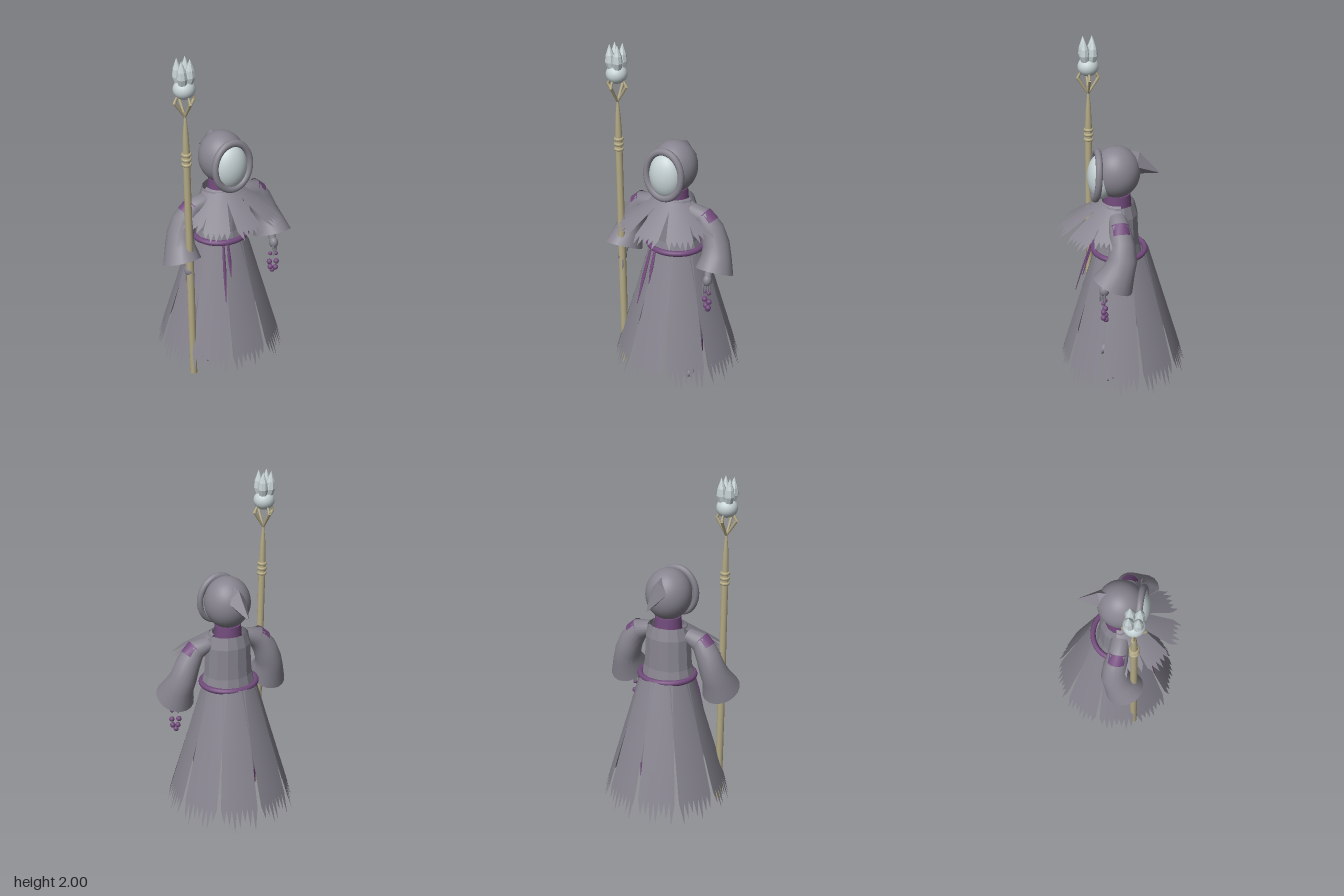
import * as THREE from 'three';

const mat = (name, color) => new THREE.MeshStandardMaterial({ name, color, side: THREE.DoubleSide });
const V = (x, y, z) => new THREE.Vector3(x, y, z);

// Tube-like surface through elliptical rings: [centre, direction, radiusU, radiusV]
function loft(rings, sides = 16, flat = false) {
  const pos = [], idx = [];
  rings.forEach(([c, d, ru, rv], i) => {
    const n = V(...d).normalize();
    const ref = Math.abs(n.z) > 0.8 ? V(0, 1, 0) : V(0, 0, 1);
    const v = ref.addScaledVector(n, -ref.dot(n)).normalize();
    const u = v.clone().cross(n);
    for (let j = 0; j < sides; j++) {
      const a = (j / sides) * Math.PI * 2;
      const p = V(...c).addScaledVector(u, ru * Math.cos(a)).addScaledVector(v, rv * Math.sin(a));
      pos.push(p.x, p.y, p.z);
      if (i) {
        const k = (j + 1) % sides, lo = (i - 1) * sides, hi = i * sides;
        idx.push(lo + j, lo + k, hi + k, lo + j, hi + k, hi + j);
      }
    }
  });
  return surface(pos, idx, flat);
}

function surface(pos, idx, flat) {
  let g = new THREE.BufferGeometry();
  g.setAttribute('position', new THREE.Float32BufferAttribute(pos, 3));
  g.setIndex(idx);
  if (flat) g = g.toNonIndexed();
  g.computeVertexNormals();
  return g;
}

// Hanging cloth strip with a zigzag hem; deg 0 faces the front
function clothStrip({ deg, r0, y0, w0, r1, y1, w1, teeth, tooth, bulge, cz }) {
  const a = deg * Math.PI / 180, cols = teeth * 2, rows = 4, pos = [], idx = [];
  for (let i = 0; i <= rows; i++) {
    for (let j = 0; j <= cols; j++) {
      const s = (j / cols) * 2 - 1;
      let t = i / rows;
      if (i === rows && j % 2) t += tooth * (0.85 + 0.25 * Math.sin(j * 2.3 + deg));
      const r = r0 + (r1 - r0) * t + bulge * (1 - s * s);
      const w = s * (w0 + (w1 - w0) * Math.min(t, 1));
      pos.push(r * Math.sin(a) + w * Math.cos(a), y0 + (y1 - y0) * t, cz + r * Math.cos(a) - w * Math.sin(a));
      if (i && j) {
        const q = i * (cols + 1) + j, p = q - cols - 1;
        idx.push(p - 1, q - 1, q, p - 1, q, p);
      }
    }
  }
  return surface(pos, idx, false);
}

// Straight tapered rod between two points
function rod(a, b, ra, rb, sides = 8) {
  const d = b.clone().sub(a);
  const g = new THREE.CylinderGeometry(rb, ra, d.length(), sides);
  g.applyQuaternion(new THREE.Quaternion().setFromUnitVectors(V(0, 1, 0), d.normalize()));
  const m = a.clone().add(b).multiplyScalar(0.5);
  return g.translate(m.x, m.y, m.z);
}

const ball = (x, y, z, rx, ry = rx, rz = rx, seg = 16) =>
  new THREE.SphereGeometry(1, seg, Math.max(6, seg * 0.75)).scale(rx, ry, rz).translate(x, y, z);

export function createModel() {
  const root = new THREE.Group();
  root.name = 'robedFigure';
  const cloth = mat('greyCloth', 0x87848f);
  const purple = mat('purpleCord', 0x724b7c);
  const pale = mat('paleMask', 0xc6d2d4);
  const wood = mat('paleWood', 0xb3a985);
  const add = (name, geo, material, parent = root) => {
    const m = new THREE.Mesh(geo, material);
    m.name = name;
    parent.add(m);
    return m;
  };

  // Head, mask and hood
  add('head', ball(0, 1.31, 0.035, 0.132, 0.15, 0.135, 32), cloth);
  add('mask', ball(0, 1.285, 0.125, 0.1, 0.132, 0.075, 28), pale);
  const rim = add('hoodRim', new THREE.TorusGeometry(0.113, 0.018, 10, 36).scale(1, 1.2, 1.1), cloth);
  rim.position.set(0, 1.295, 0.15);
  rim.rotation.x = -0.08;
  add('hoodTail', loft([
    [[0, 1.365, -0.03], [0, -0.3, -1], 0.06, 0.07],
    [[0, 1.355, -0.07], [0, -0.4, -1], 0.058, 0.07],
    [[0, 1.285, -0.21], [0, -0.5, -1], 0.001, 0.001],
  ], 4, true), cloth);
  add('neck', new THREE.CylinderGeometry(0.075, 0.085, 0.14, 16).translate(0, 1.11, 0.03), purple);

  // Faceted bodice and cord belt
  const bodice = [[0.165, 0.8], [0.145, 0.88], [0.14, 0.97], [0.135, 1.06], [0.113, 1.13]];
  const torso = new THREE.LatheGeometry(bodice.map(p => new THREE.Vector2(...p)), 14).toNonIndexed();
  torso.scale(1, 1, 0.85).translate(0, 0, 0.03);
  torso.computeVertexNormals();
  add('bodice', torso, cloth);
  add('belt', new THREE.TorusGeometry(0.16, 0.017, 10, 40).rotateX(Math.PI / 2).scale(1, 1, 0.93).translate(0, 0.825, 0.02), purple);

  // Skirt strips, leaving a seam at the back
  for (let i = -4; i <= 4; i++) {
    add('skirtPanel', clothStrip({
      deg: i * 40, r0: 0.14, y0: 0.83, w0: 0.062, r1: 0.33, y1: 0.16, w1: 0.107,
      teeth: 7, tooth: i === 0 ? 0.13 : 0.18, bulge: 0.008, cz: 0.005,
    }), cloth);
  }

  // Collar strips over the chest and shoulders
  for (const deg of [-68, -36, 0, 36, 68]) {
    const side = Math.abs(deg) > 50;
    add('collarPanel', clothStrip({
      deg, r0: 0.085, y0: 1.135, w0: 0.036, r1: side ? 0.27 : 0.3, y1: side ? 1.0 : 0.985, w1: 0.075,
      teeth: 5, tooth: 0.22, bulge: 0.008, cz: 0.025,
    }), cloth);
  }

  // Ribbons hanging from the belt
  const ribbon = (x0, x1, yEnd, zEnd) => add('ribbon', loft([
    [[x0, 0.82, 0.175], [0, -1, 0.25], 0.008, 0.004],
    [[(x0 + x1) / 2, (0.82 + yEnd) / 2, (0.18 + zEnd) / 2], [0, -1, 0.25], 0.011, 0.004],
    [[x1, yEnd, zEnd], [0, -1, 0.25], 0.002, 0.002],
  ], 8), purple);
  ribbon(-0.075, -0.112, 0.5, 0.265);
  ribbon(-0.045, -0.055, 0.63, 0.228);

  // Arms, sleeves and legs, mirrored
  for (const s of [1, -1]) {
    const side = s > 0 ? 'left' : 'right';
    add(side + 'Sleeve', loft([
      [[s * 0.12, 1.075, 0.05], [s, -0.3, 0], 0.04, 0.05],
      [[s * 0.2, 1.05, 0.05], [s * 0.8, -0.6, 0], 0.06, 0.06],
      [[s * 0.25, 0.98, 0.042], [s * 0.5, -0.9, 0.03], 0.07, 0.07],
      [[s * 0.28, 0.9, 0.045], [s * 0.3, -0.9, 0.15], 0.075, 0.082],
      [[s * 0.298, 0.84, 0.07], [s * 0.1, -0.9, 0.3], 0.084, 0.092],
      [[s * 0.306, 0.76, 0.105], [0, -0.9, 0.42], 0.108, 0.12],
    ], 18), cloth);
    add(side + 'ShoulderBand', loft([
      [[s * 0.197, 1.06, 0.05], [s * 0.8, -0.6, 0], 0.056, 0.056],
      [[s * 0.235, 1.022, 0.046], [s * 0.6, -0.8, 0], 0.06, 0.056],
    ], 14), purple);
    add(side + 'Forearm', rod(V(s * 0.28, 0.9, 0.06), V(s * 0.285, 0.74, 0.14), 0.026, 0.022, 12), cloth);
    add(side + 'Wristband', rod(V(s * 0.283, 0.8, 0.11), V(s * 0.285, 0.765, 0.13), 0.03, 0.03, 14), purple);
    add(side + 'Hand', ball(s * 0.287, 0.715, 0.15, 0.026, 0.034, 0.028), cloth);
    for (let f = 0; f < 4; f++) {
      const x = s * (0.272 + f * 0.011);
      add(side + 'Finger', rod(V(x, 0.7, 0.168 - f * 0.006), V(x, 0.64 + 0.008 * (f % 2), 0.175 - f * 0.008), 0.007, 0.004), cloth);
    }
    add(side + 'Leg', rod(V(s * 0.14, 0.5, 0.01), V(s * 0.14, 0.11, 0), 0.035, 0.028, 12), cloth);
    add(side + 'AnkleWrap', rod(V(s * 0.14, 0.21, 0.002), V(s * 0.14, 0.11, 0.002), 0.032, 0.031, 12), purple);
    add(side + 'Heel', ball(s * 0.14, 0.105, 0, 0.029), cloth);
    add(side + 'Foot', rod(V(s * 0.14, 0.105, 0), V(s * 0.146, 0.034, 0.115), 0.029, 0.027, 12), cloth);
    add(side + 'Toe', ball(s * 0.146, 0.034, 0.115, 0.027), cloth);
  }

  // Bead string in the left hand
  const beads = [[-0.016, 0.64], [0.016, 0.64], [-0.02, 0.585], [0.018, 0.585], [-0.013, 0.547], [0.013, 0.545], [0, 0.525]];
  beads.forEach(([x, y], i) =>
    add('bead', ball(0.286 + x, y, 0.15 + (i % 2 ? 0.008 : -0.008), i < 2 ? 0.012 : 0.016, undefined, undefined, 12), purple));

  // Staff, leaning slightly outwards
  const staff = new THREE.Group();
  staff.name = 'staff';
  staff.position.set(-0.272, 0, 0.163);
  staff.rotation.set(-0.009, 0, 0.0155);
  root.add(staff);
  const shaft = [[0, 0.005], [0.021, 0.005], [0.022, 0.6], [0.02, 1.2], [0.02, 1.46], [0.015, 1.58], [0.005, 1.68], [0, 1.68]];
  add('shaft', new THREE.LatheGeometry(shaft.map(p => new THREE.Vector2(...p)), 14), wood, staff);
  for (const y of [1.39, 1.42, 1.45])
    add('shaftRing', new THREE.TorusGeometry(0.02, 0.009, 8, 18).rotateX(Math.PI / 2).translate(0, y, 0), wood, staff);
  add('orb', ball(0, 1.83, 0, 0.06, 0.055, 0.06, 20), pale, staff);
  for (let i = 0; i < 4; i++) {
    const a = i * Math.PI / 2, c = Math.cos(a), d = Math.sin(a);
    const elbow = V(c * 0.06, 1.765, d * 0.06);
    add('prong', rod(V(0, 1.67, 0), elbow, 0.006, 0.009), wood, staff);
    add('prongTip', rod(elbow, V(c * 0.034, 1.815, d * 0.034), 0.009, 0.004), wood, staff);
    // Crystal petals stand between the prongs
    const px = Math.cos(a + Math.PI / 4), pz = Math.sin(a + Math.PI / 4);
    const ring = (r, y, w) => [[px * r, y, pz * r], [0, 1, 0], w, w];
    add('crystalPetal', loft([
      ring(0.022, 1.85, 0.022), ring(0.033, 1.9, 0.029), ring(0.034, 1.94, 0.024), ring(0.036, 2.0, 0.001),
    ], 8, true), pale, staff);
  }
  return root;
}
